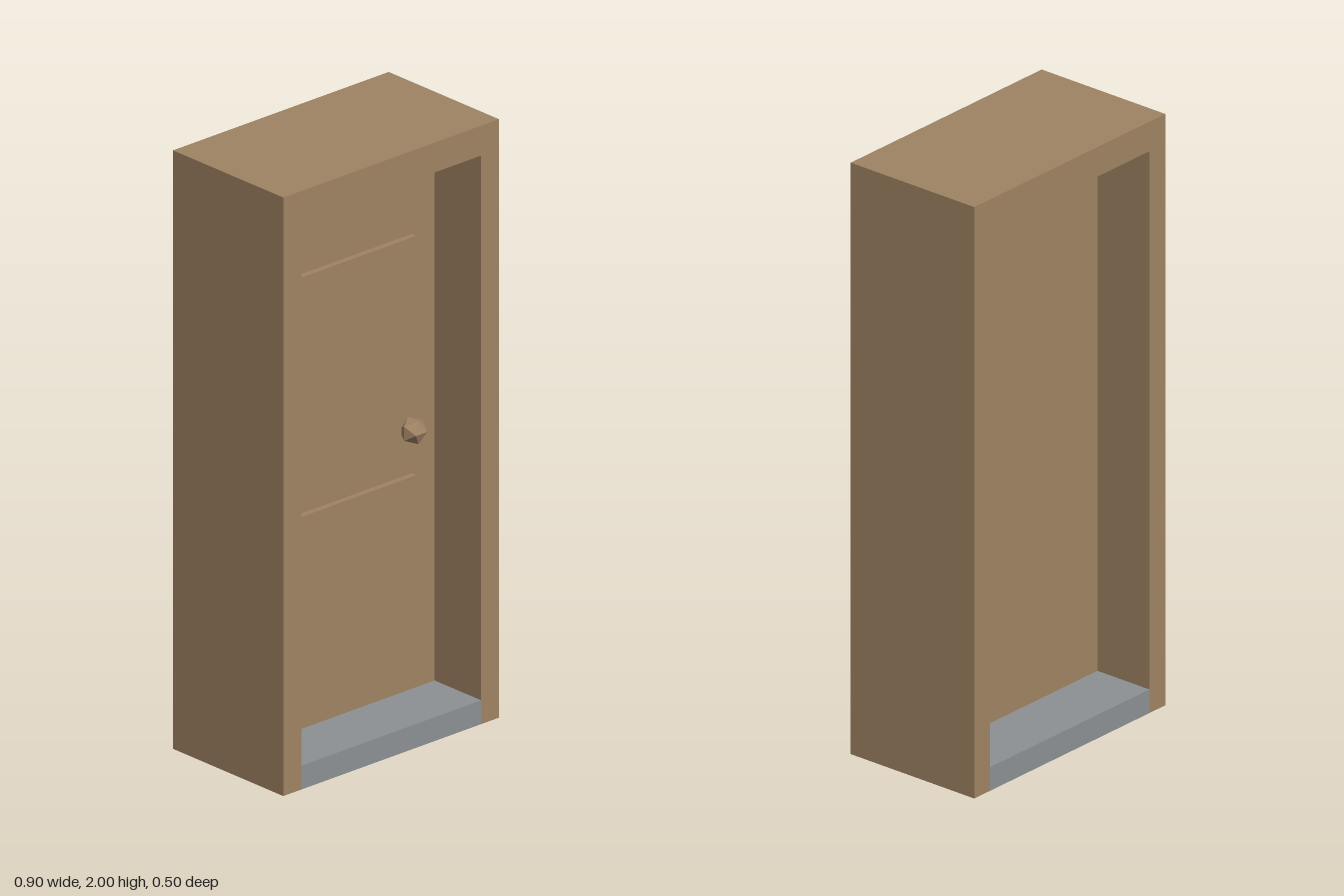
import * as THREE from 'three';

export function createModel() {
  const model = new THREE.Group();
  model.name = 'doorway';

  const wood = new THREE.MeshStandardMaterial({ color: 0xa08464 });
  wood.name = 'wood';
  const stone = new THREE.MeshStandardMaterial({ color: 0x8c9194 });
  stone.name = 'grey stone';

  const add = (parent, name, geometry, material, x, y, z) => {
    const mesh = new THREE.Mesh(geometry, material);
    mesh.name = name;
    mesh.position.set(x, y, z);
    parent.add(mesh);
    return mesh;
  };
  const box = (w, h, d) => new THREE.BoxGeometry(w, h, d);

  // Frame: one arch-shaped outline, extruded through the full depth
  const outline = new THREE.Shape([
    [-0.45, 0], [-0.375, 0], [-0.375, 1.9], [0.375, 1.9],
    [0.375, 0], [0.45, 0], [0.45, 2], [-0.45, 2],
  ].map(([x, y]) => new THREE.Vector2(x, y)));
  const frameGeometry = new THREE.ExtrudeGeometry(outline, { depth: 0.5, bevelEnabled: false });
  add(model, 'frame', frameGeometry, wood, 0, 0, -0.25);

  // Threshold between the posts
  add(model, 'threshold', box(0.75, 0.08, 0.5), stone, 0, 0.04, 0);

  // Door leaf, leaving a gap below the lintel
  const door = new THREE.Group();
  door.name = 'door';
  model.add(door);
  add(door, 'doorLeaf', box(0.75, 1.77, 0.08), wood, 0, 0.965, 0);

  // Raised panels on the front
  for (const [name, y] of [['lowerPanel', 0.55], ['upperPanel', 1.35]]) {
    add(door, name, box(0.56, 0.5, 0.02), wood, 0, y, 0.05);
  }

  // Faceted knob
  const knob = add(door, 'knob', new THREE.IcosahedronGeometry(0.045, 0), wood, 0.267, 0.953, 0.06);
  knob.rotation.y = Math.PI / 2;

  return model;
}
